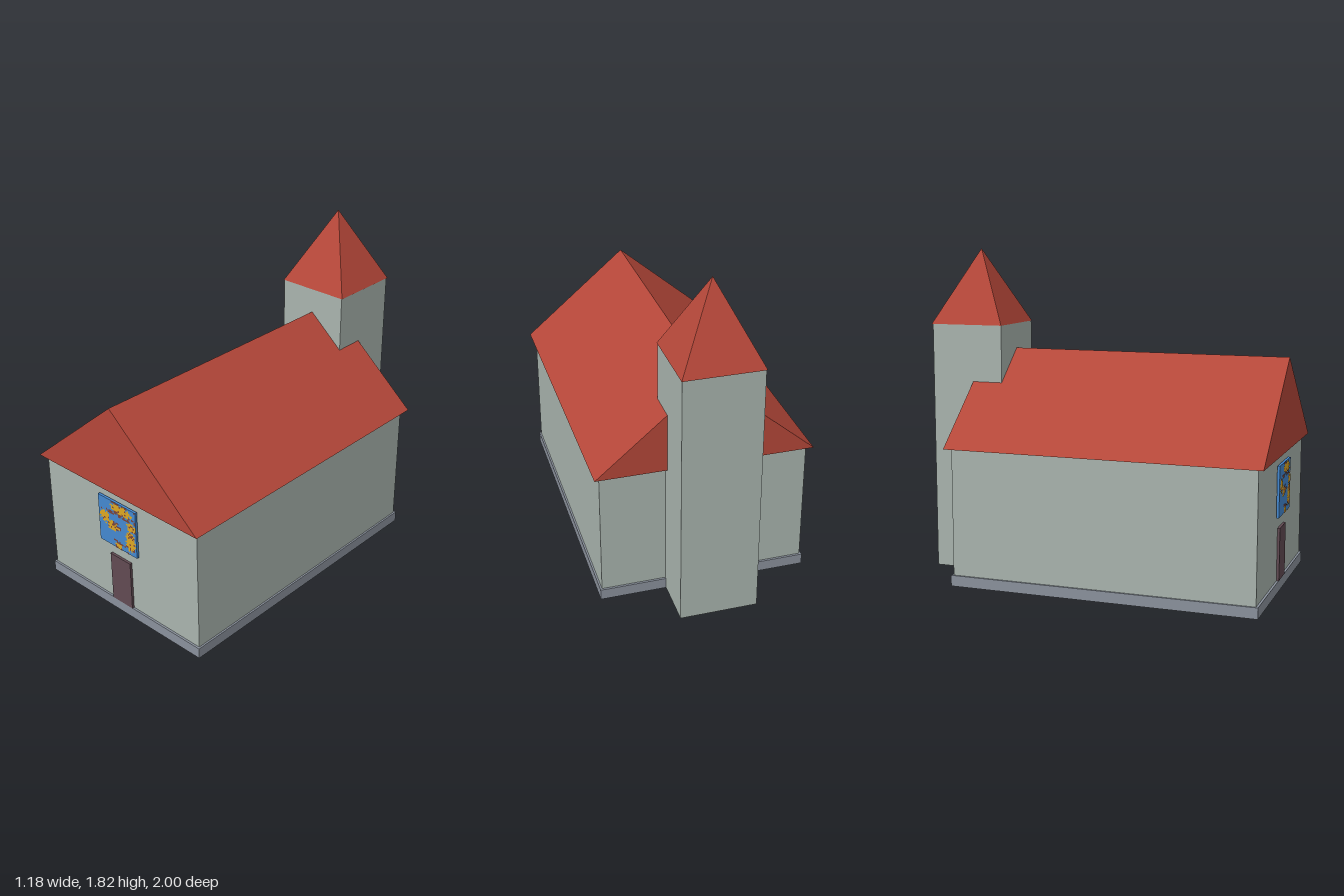
import * as THREE from 'three';
import { mergeGeometries } from 'three/addons/utils/BufferGeometryUtils.js';

const mat = (name, color) => {
  const m = new THREE.MeshStandardMaterial({ color });
  m.name = name;
  return m;
};

export function createModel() {
  const church = new THREE.Group();
  church.name = 'church';
  const wall = mat('pale stone', 0xa9b4ae);
  const tile = mat('red tile', 0xb54739);
  const base = mat('grey foundation', 0x8a919c);
  const wood = mat('dark wood', 0x614a52);
  const blue = mat('blue glass', 0x4488d0);
  const gold = mat('gold glass', 0xdca722);
  const brown = mat('brown glass', 0x7a4338);

  const add = (name, geometry, material) => {
    const mesh = new THREE.Mesh(geometry, material);
    mesh.name = name;
    church.add(mesh);
    return mesh;
  };
  // Box given by its limits on each axis
  const box = (x0, x1, y0, y1, z0, z1) =>
    new THREE.BoxGeometry(x1 - x0, y1 - y0, z1 - z0)
      .translate((x0 + x1) / 2, (y0 + y1) / 2, (z0 + z1) / 2);

  // Nave on its foundation
  add('foundation', box(-0.57, 0.57, 0, 0.06, -0.725, 0.98), base);
  add('naveWalls', box(-0.56, 0.56, 0.06, 0.76, -0.713, 0.968), wall);

  // Solid gable roof
  const gable = new THREE.Shape([
    new THREE.Vector2(-0.59, 0.76), new THREE.Vector2(0.59, 0.76), new THREE.Vector2(0, 1.26),
  ]);
  const roof = new THREE.ExtrudeGeometry(gable, { depth: 1.748, bevelEnabled: false });
  add('naveRoof', roof.translate(0, 0, -0.748), tile);

  // Bell tower and four-sided spire
  add('tower', box(-0.21, 0.21, 0.001, 1.4, -0.993, -0.573), wall);
  const spire = new THREE.ConeGeometry(0.214 * Math.SQRT2, 0.42, 4, 1).toNonIndexed();
  spire.rotateY(Math.PI / 4).translate(0, 1.61, -0.785);
  spire.computeVertexNormals();
  add('spire', spire, tile);

  // Door
  add('door', box(-0.075, 0.075, 0.06, 0.35, 0.962, 0.982), wood);

  // Stained glass: a blue pane with small gold and brown tiles
  add('windowPane', box(-0.14, 0.14, 0.42, 0.7, 0.974, 0.988), blue);
  let seed = 7;
  const rand = () => (seed = (seed * 16807) % 2147483647) / 2147483647;
  // Patches as [centre x, centre y, radius x, radius y] in pane units 0..1
  const patches = [
    [0.62, 0.88, 0.3, 0.1], [0.16, 0.6, 0.14, 0.12], [0.38, 0.46, 0.18, 0.1],
    [0.86, 0.3, 0.14, 0.22], [0.52, 0.06, 0.1, 0.08], [0.88, 0.62, 0.12, 0.1],
  ];
  const n = 28, s = 0.28 / n;
  const tiles = { gold: [], brown: [] };
  for (let j = 0; j < n; j++) {
    const streak = rand() < 0.35;
    for (let i = 0; i < n; i++) {
      const u = (i + 0.5) / n, v = (j + 0.5) / n, r = rand();
      const inPatch = patches.some(([x, y, a, b]) => ((u - x) / a) ** 2 + ((v - y) / b) ** 2 < 0.6 + r * 0.6);
      const inBand = (v > 0.7 && v < 0.8) || (streak && u > 0.35);
      const kind = inBand && r < 0.45 ? 'brown' : inPatch ? (r < 0.12 ? 'brown' : 'gold') : null;
      if (!kind) continue;
      tiles[kind].push(new THREE.PlaneGeometry(s, s)
        .translate(-0.14 + u * 0.28, 0.42 + v * 0.28, 0.99));
    }
  }
  add('goldGlass', mergeGeometries(tiles.gold), gold);
  add('brownGlass', mergeGeometries(tiles.brown), brown);

  return church;
}
